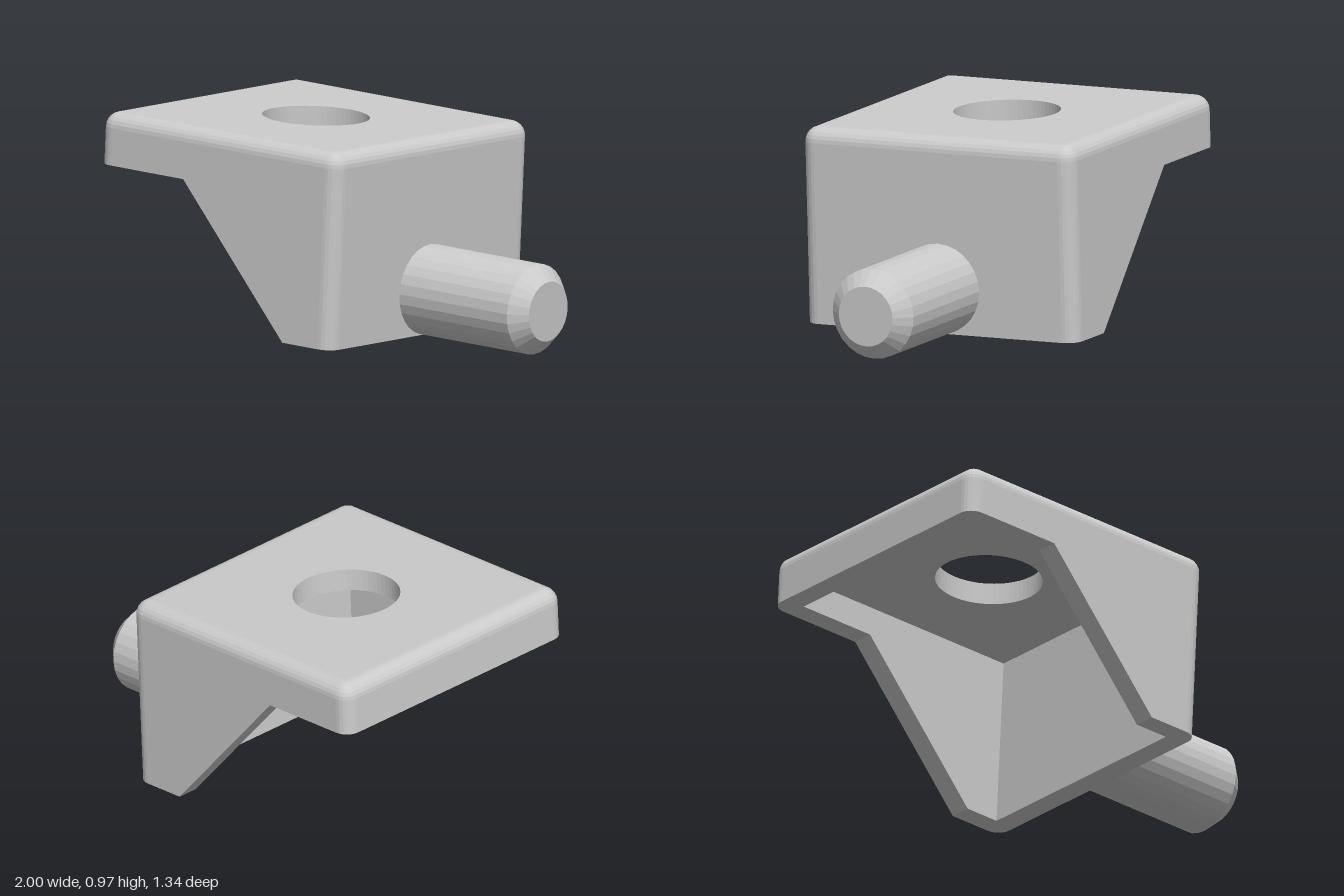
import * as THREE from 'three';

const TILT = THREE.MathUtils.degToRad(-3);
const X0 = -1.038, X1 = 0.303, HALF_Z = 0.67;   // block footprint
const TOP = 0.924, LIP = 0.692, FOOT = 0.053;   // heights
const KINK_A = 0.037, KINK_B = -0.557;          // ends of the sloping cut
const WALL = 0.1, FILLET = 0.067, SEG = 6;

// Height of the lower rim: flat foot, slope, flat lip
function rimHeight(x) {
  const t = THREE.MathUtils.clamp((x - KINK_B) / (KINK_A - KINK_B), 0, 1);
  return THREE.MathUtils.lerp(LIP, FOOT, t);
}

// Rounded rectangle ring; without y it follows the lower rim
function ring(inset, radius, y) {
  const pts = [];
  const add = (x, z) => pts.push(new THREE.Vector3(x, y ?? rimHeight(x), z));
  const corners = [[1, 1], [-1, 1], [-1, -1], [1, -1]];
  corners.forEach(([sx, sz], k) => {
    const cx = sx > 0 ? X1 - inset - radius : X0 + inset + radius;
    const cz = sz * (HALF_Z - inset - radius);
    for (let i = 0; i <= SEG; i++) {
      const a = (k + i / SEG) * Math.PI / 2;
      add(cx + radius * Math.cos(a), cz + radius * Math.sin(a));
    }
    // Extra points where the side walls bend into the slope
    if (k === 0) [KINK_A, KINK_B].forEach(x => add(x, HALF_Z - inset));
    if (k === 2) [KINK_B, KINK_A].forEach(x => add(x, inset - HALF_Z));
  });
  return pts;
}

// Skin consecutive rings, leaving out collapsed triangles
function loft(rings) {
  const pos = [];
  const tri = (a, b, c) => {
    const area = b.clone().sub(a).cross(c.clone().sub(a)).length();
    if (area > 1e-9) pos.push(...a.toArray(), ...b.toArray(), ...c.toArray());
  };
  for (let k = 0; k < rings.length - 1; k++) {
    const lo = rings[k], hi = rings[k + 1], n = lo.length;
    for (let i = 0; i < n; i++) {
      const j = (i + 1) % n;
      tri(lo[i], hi[i], lo[j]);
      tri(lo[j], hi[i], hi[j]);
    }
  }
  const geo = new THREE.BufferGeometry();
  geo.setAttribute('position', new THREE.Float32BufferAttribute(pos, 3));
  geo.computeVertexNormals();
  return geo;
}

export function createModel() {
  const material = new THREE.MeshStandardMaterial({ color: 0xcccccc, flatShading: true });
  const group = new THREE.Group();
  group.name = 'shelfSupport';
  const part = (name, geometry) => {
    const mesh = new THREE.Mesh(geometry, material);
    mesh.name = name;
    group.add(mesh);
    return mesh;
  };

  // Hollow body: inner walls, lower rim, outer walls, rounded top edge
  const rings = [ring(WALL, 0, TOP - WALL), ring(WALL, 0), ring(0, FILLET)];
  for (let i = 0; i <= SEG; i++) {
    const a = i / SEG * Math.PI / 2;
    const r = FILLET * Math.cos(a);
    rings.push(ring(FILLET - r, r, TOP - FILLET + FILLET * Math.sin(a)));
  }
  part('bodyWalls', loft(rings));

  // Top plate with the round hole
  const cx = (X0 + X1) / 2, hx = (X1 - X0) / 2 - FILLET, hz = HALF_Z - FILLET;
  const plate = new THREE.Shape([
    new THREE.Vector2(-hx, -hz), new THREE.Vector2(hx, -hz),
    new THREE.Vector2(hx, hz), new THREE.Vector2(-hx, hz),
  ]);
  plate.holes.push(new THREE.Path().absarc(0, 0, 0.236, 0, Math.PI * 2, true));
  const plateGeo = new THREE.ExtrudeGeometry(plate, { depth: WALL, bevelEnabled: false, curveSegments: 32 });
  plateGeo.rotateX(-Math.PI / 2).translate(cx, TOP - WALL, 0);
  part('topPlate', plateGeo);

  // Peg with a chamfered tip
  const profile = [[0.2, 0.26], [0.2, 0.911], [0.133, 0.981], [0, 0.981]]
    .map(([r, l]) => new THREE.Vector2(r, l));
  const pegGeo = new THREE.LatheGeometry(profile, 28);
  pegGeo.rotateZ(-Math.PI / 2).translate(0, 0.253, 0);
  part('peg', pegGeo);

  // The whole support leans slightly
  group.rotation.z = TILT;
  group.position.y = -0.005;
  const model = new THREE.Group();
  model.add(group);
  return model;
}
